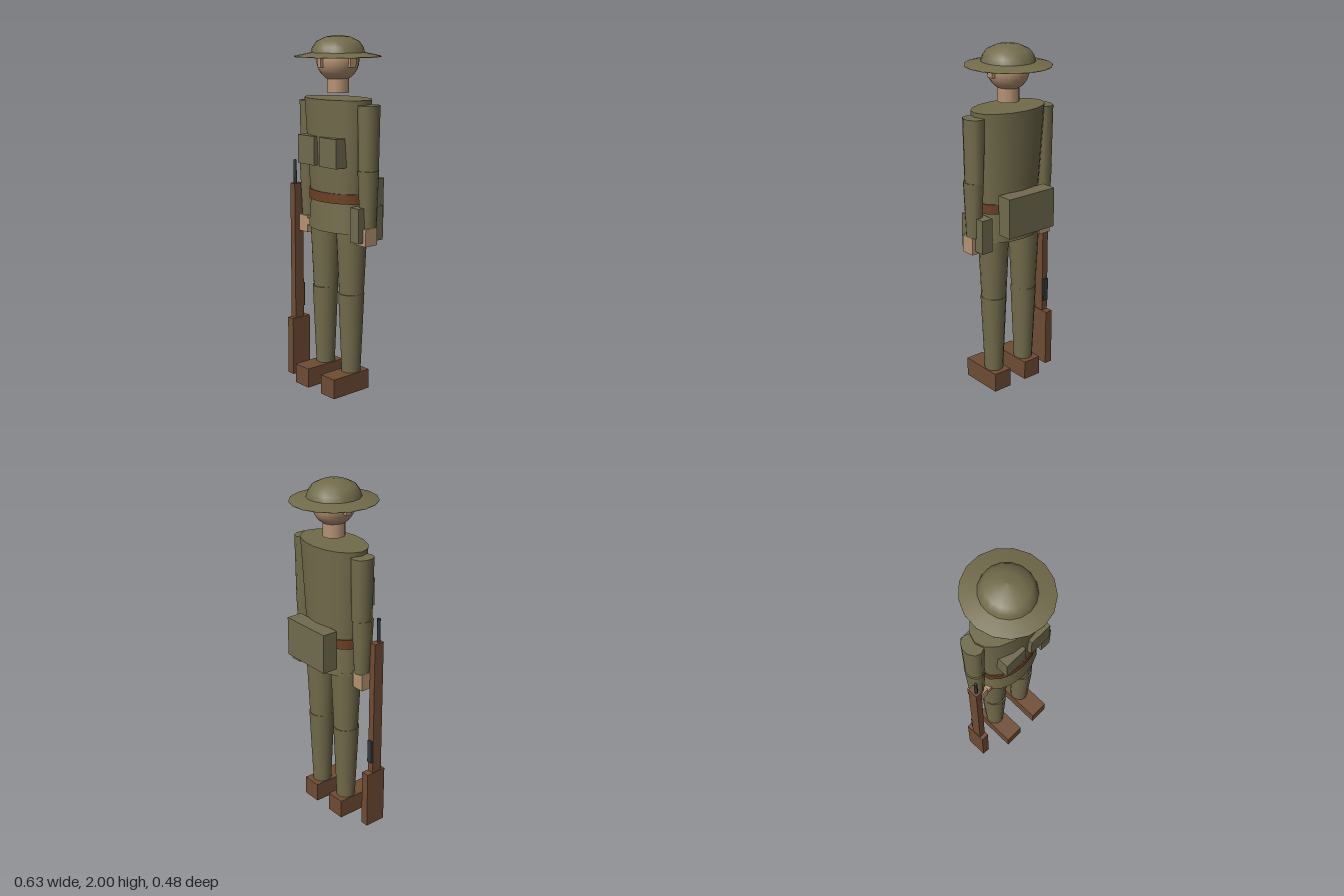
import * as THREE from 'three';

const mat = (name, color, side = THREE.FrontSide) => {
  const m = new THREE.MeshStandardMaterial({ color, side });
  m.name = name;
  return m;
};

export function createModel() {
  const model = new THREE.Group();
  model.name = 'standingInfantryman';
  // everything except the rifle is centred here
  const body = new THREE.Group();
  body.name = 'body';
  body.position.x = 0.0125;
  model.add(body);

  const olive = mat('olive cloth', 0x726b4b, THREE.DoubleSide);
  const webbing = mat('webbing', 0x706a4e);
  const skin = mat('skin', 0xb59373);
  const leather = mat('belt leather', 0x6b4025);
  const brown = mat('brown leather and wood', 0x6f4c33);
  const metal = mat('gunmetal', 0x34393b);

  const add = (parent, name, geometry, material, x = 0, y = 0, z = 0) => {
    const mesh = new THREE.Mesh(geometry, material);
    mesh.name = name;
    mesh.position.set(x, y, z);
    parent.add(mesh);
    return mesh;
  };
  // box from its min and max on each axis
  const box = (parent, name, material, [x0, x1], [y0, y1], [z0, z1]) =>
    add(parent, name, new THREE.BoxGeometry(x1 - x0, y1 - y0, z1 - z0), material,
      (x0 + x1) / 2, (y0 + y1) / 2, (z0 + z1) / 2);
  // upright tapered cylinder; radii along x, zScale stretches depth
  const taper = (parent, name, material, x, z, y0, y1, r0, r1, zScale, sides) => {
    const mesh = add(parent, name, new THREE.CylinderGeometry(r1, r0, y1 - y0, sides), material, x, (y0 + y1) / 2, z);
    mesh.scale.z = zScale;
    return mesh;
  };

  // tunic, belt and skirt of the tunic
  taper(body, 'tunic', olive, 0, 0, 1.08, 1.66, 0.19, 0.233, 0.62, 16);
  taper(body, 'belt', leather, 0, 0, 1.095, 1.15, 0.202, 0.202, 0.63, 16);
  taper(body, 'tunicSkirt', olive, 0, 0, 0.93, 1.095, 0.204, 0.19, 0.63, 16);

  // neck, head and face
  taper(body, 'neck', skin, 0, 0, 1.69, 1.79, 0.061, 0.061, 1.03, 12);
  add(body, 'head', new THREE.SphereGeometry(1, 20, 14), skin, 0, 1.865, 0).scale.set(0.112, 0.117, 0.122);
  box(body, 'nose', skin, [-0.013, 0.013], [1.83, 1.89], [0.1, 0.135]);

  // steel helmet: domed crown over a wide sloping brim
  const profile = (points) => points.map(([r, y]) => new THREE.Vector2(r, y));
  const crown = add(body, 'helmetCrown', new THREE.LatheGeometry(profile(
    [[0.153, 1.9], [0.143, 1.935], [0.119, 1.967], [0.066, 1.991], [0, 2]]), 17), olive);
  const brim = add(body, 'helmetBrim', new THREE.LatheGeometry(profile(
    [[0.243, 1.883], [0.243, 1.888], [0.148, 1.907]]), 17), olive);
  crown.scale.x = brim.scale.x = 0.965;

  for (const s of [1, -1]) {
    const side = s > 0 ? 'left' : 'right';
    // mirrored range on x
    const mx = (a, b) => (s > 0 ? [a, b] : [-b, -a]);

    box(body, side + 'Ear', skin, mx(0.1, 0.126), [1.83, 1.9], [-0.02, 0.02]);
    box(body, side + 'ChestPocket', webbing, mx(0.022, 0.16), [1.297, 1.457], [0.08, 0.155]);

    // arm
    taper(body, side + 'UpperArm', olive, s * 0.244, -0.006, 1.28, 1.635, 0.05, 0.055, 1.2, 10);
    taper(body, side + 'Forearm', olive, s * 0.247, -0.002, 0.97, 1.285, 0.041, 0.054, 1.15, 10);
    box(body, side + 'Hand', skin, mx(0.208, 0.285), [0.875, 0.972], [-0.035, 0.05]);
    box(body, side + 'Thumb', skin, mx(0.178, 0.21), [0.922, 0.96], [0.02, 0.055]);

    // leg and boot
    taper(body, side + 'Thigh', olive, s * 0.111, -0.004, 0.57, 0.95, 0.072, 0.09, 0.97, 14);
    taper(body, side + 'Shin', olive, s * 0.112, -0.002, 0.1, 0.575, 0.053, 0.073, 1.05, 14);
    box(body, side + 'Boot', brown, mx(0.056, 0.17), [0, 0.113], [-0.085, 0.177]);
  }

  // pack on the back and bag at the left hip
  box(model, 'backPack', webbing, [-0.148, 0.172], [0.987, 1.213], [-0.202, -0.11]);
  box(model, 'hipBag', webbing, [0.206, 0.276], [0.893, 1.086], [-0.098, 0.083]);

  // rifle grounded beside the right foot
  const rifle = new THREE.Group();
  rifle.name = 'rifle';
  model.add(rifle);
  box(rifle, 'rifleButt', brown, [-0.315, -0.267], [0, 0.345], [-0.02, 0.107]);
  box(rifle, 'rifleStock', brown, [-0.311, -0.271], [0.34, 1.153], [0.021, 0.083]);
  box(rifle, 'rifleBolt', metal, [-0.307, -0.275], [0.41, 0.55], [0.01, 0.04]);
  taper(rifle, 'rifleBarrel', metal, -0.291, 0.063, 1.1, 1.29, 0.01, 0.01, 1, 6);

  return model;
}
